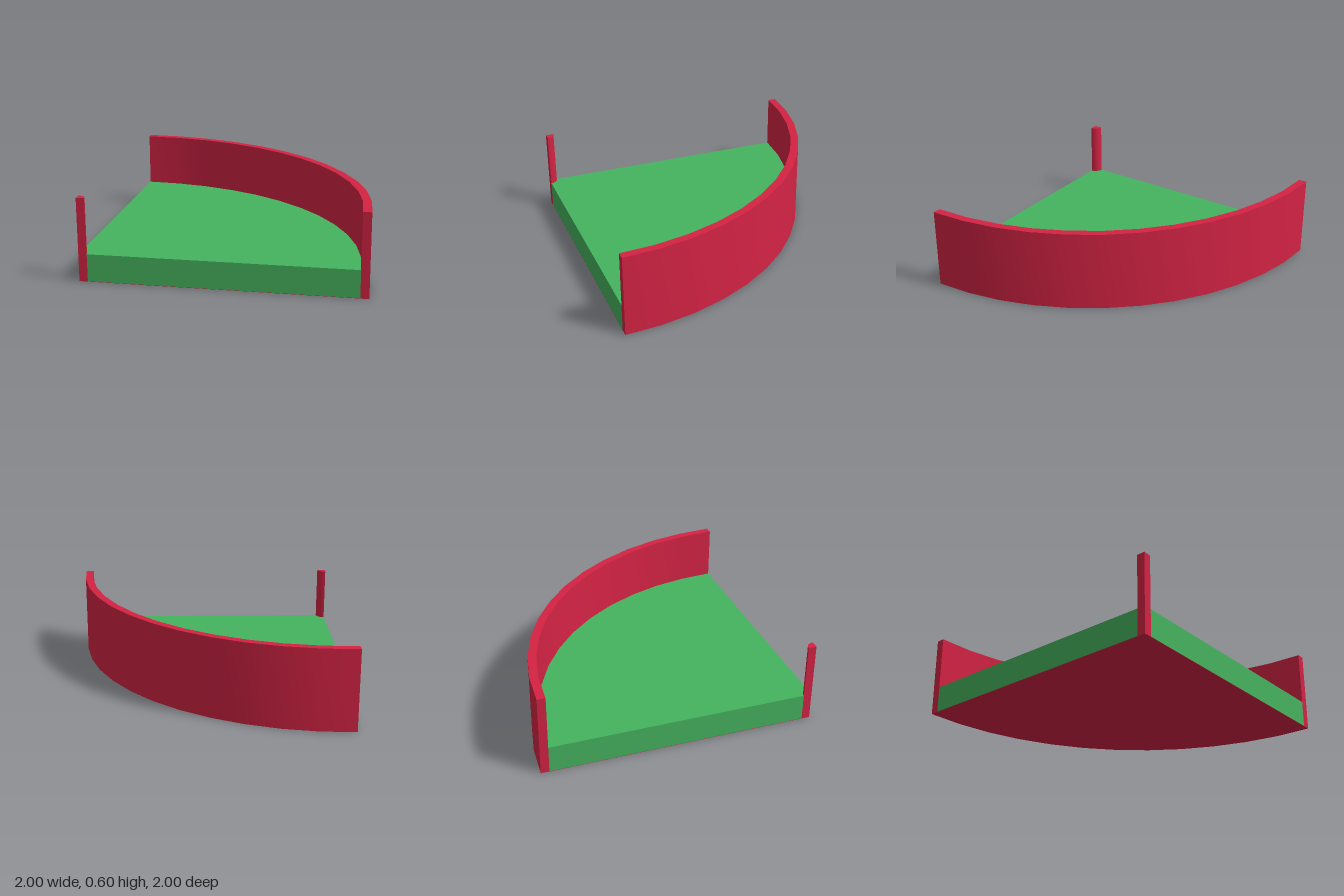
import * as THREE from 'three';
import { toCreasedNormals } from 'three/addons/utils/BufferGeometryUtils.js';

const red = new THREE.MeshStandardMaterial({ color: 0xd42344 });
red.name = 'crimson';
const green = new THREE.MeshStandardMaterial({ color: 0x46b45f });
green.name = 'green';

const OUTER = 2, WALL = 0.06, INNER = OUTER - WALL;
const HEIGHT = 0.6, DECK = 0.2, SKIN = 0.002;
const CX = -1, CY = -1; // corner of the quarter circle in plan

// Quarter ring (or quarter disc when r0 is 0) in plan
function quarter(r0, r1) {
  const s = new THREE.Shape();
  s.moveTo(CX + r0, CY);
  s.lineTo(CX + r1, CY);
  s.absarc(CX, CY, r1, 0, Math.PI / 2, false);
  s.lineTo(CX, CY + r0);
  if (r0 > 0) s.absarc(CX, CY, r0, Math.PI / 2, 0, true);
  return s;
}

// Extrude a plan shape upwards from y0 to y1
function slab(name, shape, y0, y1, material, curveSegments = 6) {
  let geo = new THREE.ExtrudeGeometry(shape, { depth: y1 - y0, bevelEnabled: false, curveSegments });
  geo.rotateX(-Math.PI / 2);
  geo.translate(0, y0, 0);
  geo = toCreasedNormals(geo, 0.6);
  const mesh = new THREE.Mesh(geo, material);
  mesh.name = name;
  return mesh;
}

export function createModel() {
  const group = new THREE.Group();
  group.name = 'quarterCurvePlatform';
  // Curved rim, corner post, raised deck and thin underside
  group.add(slab('curvedWall', quarter(INNER, OUTER), 0, HEIGHT, red));
  group.add(slab('cornerPost', quarter(0, WALL), 0, HEIGHT, red, 2));
  group.add(slab('deck', quarter(WALL, INNER), SKIN, DECK, green));
  group.add(slab('underside', quarter(WALL, INNER), 0, SKIN, red));
  return group;
}
